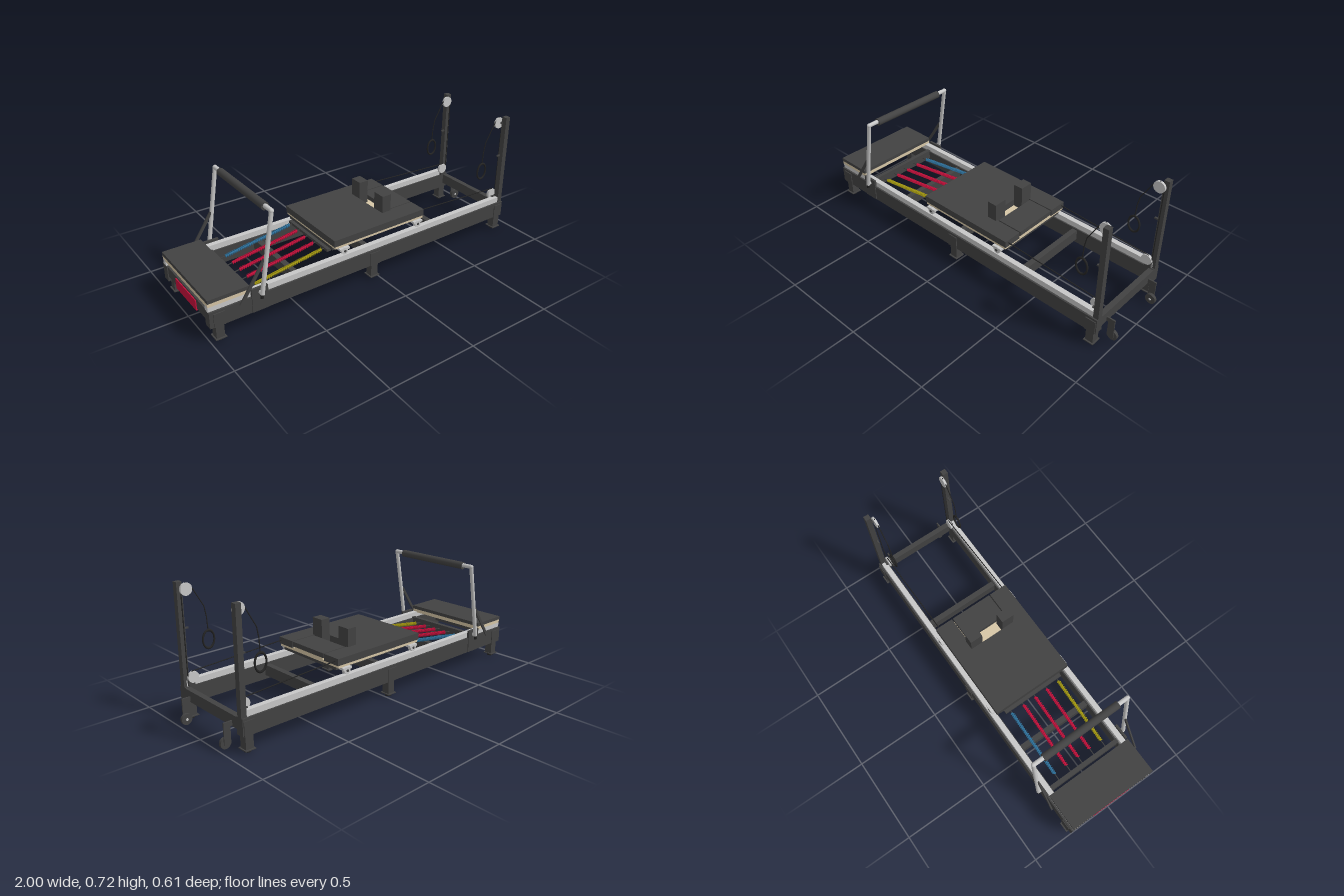
import * as THREE from 'three';

const mat = (name, color, extra) => Object.assign(new THREE.MeshStandardMaterial({ color, ...extra }), { name });

export function createModel() {
  const root = new THREE.Group();
  root.name = 'reformerBench';
  const dark = mat('charcoal', 0x424242);
  const black = mat('blackRubber', 0x242424);
  const silver = mat('silver', 0xc8c8c8);
  const wood = mat('birchWood', 0xd6c6a6);
  const red = mat('red', 0xc8103c);
  const blue = mat('blue', 0x2f74a0);
  const yellow = mat('yellow', 0xa89c10);

  const add = (name, geo, m, parent = root) => {
    const mesh = new THREE.Mesh(geo, m);
    mesh.name = name;
    parent.add(mesh);
    return mesh;
  };
  // box given by its minimum and maximum on each axis
  const box = (name, m, x0, x1, y0, y1, z0, z1) => {
    const b = add(name, new THREE.BoxGeometry(x1 - x0, y1 - y0, z1 - z0), m);
    b.position.set((x0 + x1) / 2, (y0 + y1) / 2, (z0 + z1) / 2);
    return b;
  };
  // the same box on both sides
  const pair = (name, m, x0, x1, y0, y1, z0, z1) => {
    box(name, m, x0, x1, y0, y1, z0, z1);
    box(name, m, x0, x1, y0, y1, -z1, -z0);
  };
  // round bar between two points
  const rod = (name, m, a, b, r, sides = 16) => {
    const p = new THREE.Vector3(...a), q = new THREE.Vector3(...b);
    const mesh = add(name, new THREE.CylinderGeometry(r, r, p.distanceTo(q), sides), m);
    mesh.position.copy(p).add(q).multiplyScalar(0.5);
    mesh.quaternion.setFromUnitVectors(new THREE.Vector3(0, 1, 0), q.sub(p).normalize());
    return mesh;
  };
  const disc = (name, m, x, y, z, r, t) => rod(name, m, [x, y, z - t / 2], [x, y, z + t / 2], r, 28);

  // base frame
  pair('sideBeam', dark, -1, 0.935, 0.088, 0.178, 0.222, 0.27);
  pair('trackRail', silver, -1, 0.92, 0.178, 0.21, 0.23, 0.26);
  box('footEndBeam', dark, -0.995, -0.965, 0.115, 0.175, -0.23, 0.23);
  box('headEndBeam', dark, 0.905, 0.935, 0.115, 0.175, -0.23, 0.23);
  for (const x of [-0.48, -0.03, 0.43]) box('crossBeam', dark, x - 0.016, x + 0.016, 0.11, 0.17, -0.23, 0.23);
  box('springBar', dark, -0.765, -0.74, 0.13, 0.185, -0.23, 0.23);
  box('redEndPanel', red, -1, -0.992, 0.105, 0.165, -0.118, 0.118);

  // legs with feet
  for (const x of [-0.95, -0.03, 0.9]) {
    pair('leg', dark, x - 0.022, x + 0.022, 0.018, 0.09, 0.224, 0.268);
    pair('footPlate', dark, x - 0.029, x + 0.029, 0.013, 0.018, 0.216, 0.276);
    pair('sidePlate', dark, x - 0.03, x + 0.03, 0.09, 0.165, 0.269, 0.275);
    for (const s of [-1, 1]) rod('foot', black, [x, 0, s * 0.246], [x, 0.014, s * 0.246], 0.018);
  }

  // fixed foot platform
  box('platformBoard', wood, -1, -0.785, 0.205, 0.226, -0.262, 0.262);
  box('platformPad', dark, -1, -0.785, 0.226, 0.246, -0.265, 0.265);

  // carriage: padded top with a cutout for the headrest
  const pad = new THREE.Shape();
  [[-0.27, -0.24], [0.33, -0.24], [0.33, -0.132], [0.115, -0.132],
    [0.115, 0.132], [0.33, 0.132], [0.33, 0.24], [-0.27, 0.24]]
    .forEach(([x, z], i) => (i ? pad.lineTo(x, z) : pad.moveTo(x, z)));
  const padGeo = new THREE.ExtrudeGeometry(pad, { depth: 0.038, bevelEnabled: false });
  padGeo.rotateX(-Math.PI / 2).translate(0, 0.262, 0);
  add('carriagePad', padGeo, dark);
  box('headrest', dark, 0.18, 0.33, 0.274, 0.3, -0.126, 0.126);
  box('headrestSupport', wood, 0.2, 0.325, 0.262, 0.274, -0.115, 0.115);
  box('carriageBoard', wood, -0.265, 0.325, 0.248, 0.262, -0.238, 0.238);
  pair('carriageRunner', dark, -0.26, 0.32, 0.23, 0.248, 0.185, 0.212);
  for (const x of [-0.265, 0.295]) box('carriageCrossbar', dark, x, x + 0.025, 0.23, 0.248, -0.212, 0.212);
  box('springHookBar', dark, -0.285, -0.26, 0.217, 0.232, -0.19, 0.19);
  pair('shoulderRest', dark, 0.115, 0.172, 0.262, 0.4, 0.068, 0.143);
  for (const s of [-1, 1]) for (const x of [-0.215, 0.28]) {
    disc('carriageWheel', silver, x, 0.23, s * 0.244, 0.02, 0.022);
    box('wheelBracket', silver, x - 0.03, x + 0.03, 0.236, 0.248, s * 0.24 - 0.016, s * 0.24 + 0.016);
    disc('wheelAxle', dark, x, 0.23, s * 0.244, 0.007, 0.028);
  }

  // coil springs, sloping up to the carriage
  const springs = [[0.16, yellow], [0.08, red], [0, red], [-0.08, red], [-0.16, blue]];
  class Coil extends THREE.Curve {
    getPoint(t, out = new THREE.Vector3()) {
      const a = t * Math.PI * 2 * 36;
      return out.set(-0.7 + 0.4 * t, 0.165 + 0.058 * t + 0.008 * Math.cos(a), 0.008 * Math.sin(a));
    }
  }
  const coilGeo = new THREE.TubeGeometry(new Coil(), 36 * 9, 0.0035, 5);
  for (const [z, m] of springs) {
    add('spring', coilGeo, m).position.z = z;
    rod('springCore', m, [-0.7, 0.165, z], [-0.3, 0.223, z], 0.0055, 8);
    rod('springEnd', dark, [-0.75, 0.158, z], [-0.7, 0.165, z], 0.003, 6);
    rod('springHook', dark, [-0.3, 0.223, z], [-0.265, 0.226, z], 0.003, 6);
  }

  // foot bar
  rod('footBarGrip', dark, [-0.652, 0.619, -0.232], [-0.652, 0.619, 0.232], 0.021, 24);
  for (const s of [-1, 1]) {
    const z = s * 0.291;
    rod('footBarStub', silver, [-0.652, 0.622, s * 0.23], [-0.652, 0.622, z], 0.012);
    rod('footBarArm', silver, [-0.727, 0.188, z], [-0.652, 0.622, z], 0.0115);
    add('footBarElbow', new THREE.SphereGeometry(0.0125, 16, 12), silver).position.set(-0.652, 0.622, z);
    rod('footBarPivot', silver, [-0.727, 0.195, s * 0.262], [-0.727, 0.195, z], 0.012);
    rod('footBarFoot', black, [-0.73, 0.167, z], [-0.727, 0.188, z], 0.009);
    const strut = box('footBarStrut', dark, -0.008, 0.008, -0.125, 0.125, z - 0.004, z + 0.004);
    strut.position.set(-0.772, 0.272, s * 0.287);
    strut.rotation.z = -0.59;
  }
  pair('footBarPlate', dark, -0.775, -0.685, 0.09, 0.222, 0.268, 0.275);
  pair('footBarBlock', dark, -0.775, -0.685, 0.178, 0.222, 0.262, 0.27);

  // pulley posts, ropes and hand loops
  pair('pulleyPost', dark, 0.905, 0.935, 0.09, 0.716, 0.231, 0.262);
  for (const s of [-1, 1]) {
    const z = s * 0.219;
    disc('upperPulley', silver, 0.893, 0.678, z, 0.032, 0.013);
    disc('lowerPulley', silver, 0.888, 0.226, z, 0.03, 0.015);
    disc('pulleyAxle', dark, 0.905, 0.678, s * 0.226, 0.007, 0.02);
    box('pulleyBracket', dark, 0.88, 0.915, 0.18, 0.215, s * 0.228 - 0.012, s * 0.228 + 0.012);
    box('ropePeg', dark, 0.883, 0.906, 0.475, 0.483, s * 0.24 - 0.005, s * 0.24 + 0.005);
    const rope = [[0.32, 0.286], [0.89, 0.257], [0.917, 0.235], [0.92, 0.66], [0.893, 0.71],
      [0.866, 0.69], [0.8, 0.575], [0.79, 0.52], [0.786, 0.45]];
    for (let i = 1; i < rope.length; i++) rod('rope', black, [...rope[i - 1], z], [...rope[i], z], 0.0028, 6);
    const loop = add('handLoop', new THREE.TorusGeometry(0.038, 0.0055, 8, 32), black);
    loop.scale.set(0.86, 1.24, 1);
    loop.position.set(0.786, 0.4, z);
  }

  // transport wheels at the head end
  for (const s of [-1, 1]) {
    disc('transportWheel', dark, 0.97, 0.038, s * 0.171, 0.029, 0.016);
    box('wheelArm', dark, 0.945, 0.982, 0.03, 0.145, s * 0.182 - 0.003, s * 0.182 + 0.003);
    box('wheelMount', dark, 0.933, 0.982, 0.12, 0.145, s * 0.182 - 0.004, s * 0.182 + 0.004);
    disc('wheelHub', silver, 0.97, 0.038, s * 0.171, 0.007, 0.02);
  }
  return root;
}
